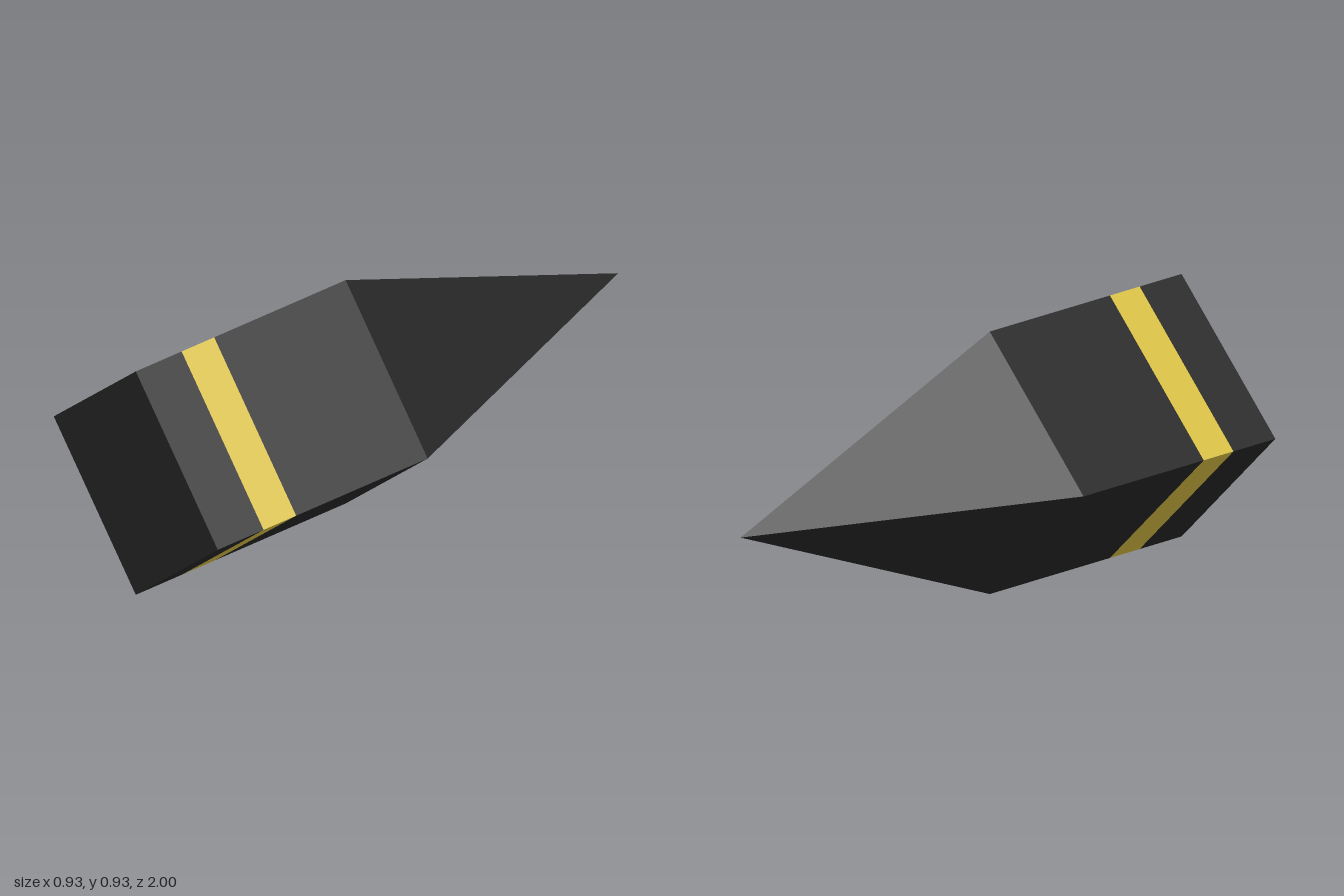
import * as THREE from 'three';

const RADIUS = 0.465; // half the diagonal of the square section

export function createModel() {
  const group = new THREE.Group();
  const black = new THREE.MeshStandardMaterial({ color: 0x242424 });
  black.name = 'black';
  const gold = new THREE.MeshStandardMaterial({ color: 0xd4bc40 });
  gold.name = 'gold';

  // Four-sided section along z, standing on one edge
  function section(name, material, zFront, zBack, backRadius = RADIUS, open = true) {
    const geometry = new THREE.CylinderGeometry(RADIUS, backRadius, zFront - zBack, 4, 1, open)
      .rotateX(Math.PI / 2)
      .translate(0, RADIUS, (zFront + zBack) / 2)
      .toNonIndexed();
    geometry.computeVertexNormals(); // flat facets
    const mesh = new THREE.Mesh(geometry, material);
    mesh.name = name;
    group.add(mesh);
  }

  section('stripe', gold, 0.81, 0.675);
  section('body', black, 0.675, 0.13);
  section('point', black, 0.13, -1, 0);

  // Front block with its square end face
  section('frontBlock', black, 1, 0.81);
  const end = new THREE.Mesh(new THREE.CircleGeometry(RADIUS, 4), black);
  end.name = 'endFace';
  end.position.set(0, RADIUS, 1);
  group.add(end);

  return group;
}
